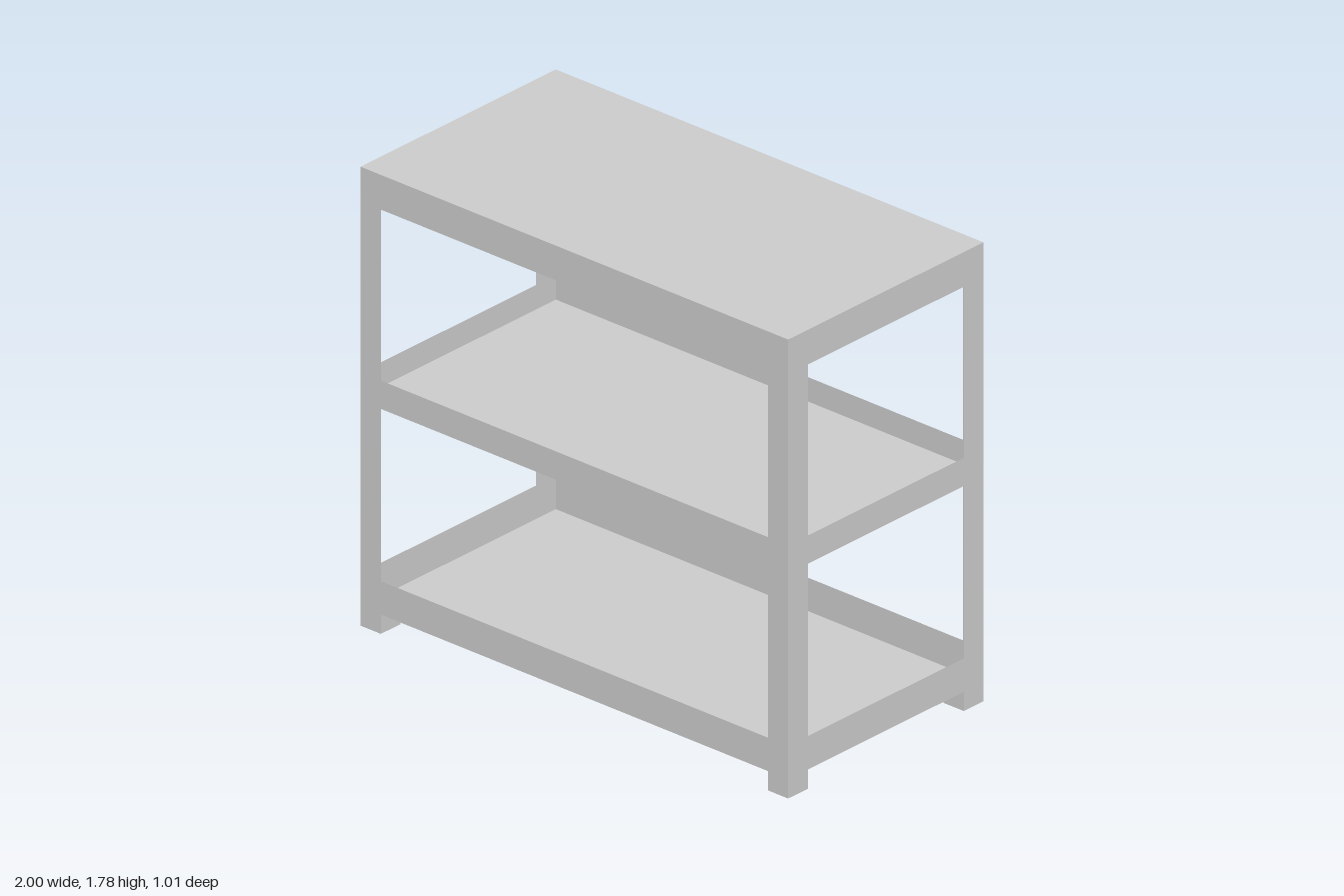
import * as THREE from 'three';

const W = 2, D = 1.014, H = 1.785;       // overall size
const PX = 0.095, PZ = 0.102;            // post flange widths
const BASE = 0.075, TOP = 1.65;          // underside of bottom shelf and of top slab
const RAILS = [[BASE, 0.205], [0.875, 0.985]];

export function createModel() {
  const group = new THREE.Group();
  const solid = new THREE.MeshStandardMaterial({ color: 0xcccccc, flatShading: true });
  const sheet = new THREE.MeshStandardMaterial({ color: 0xcccccc, flatShading: true, side: THREE.DoubleSide });

  function add(parent, name, geometry, material, x, y, z) {
    const mesh = new THREE.Mesh(geometry, material);
    mesh.name = name;
    mesh.position.set(x, y, z);
    parent.add(mesh);
    return mesh;
  }

  // One sheet-metal side: two post flanges and the rails between them
  function sidePanel(name, width, flange) {
    const panel = new THREE.Group();
    panel.name = name;
    for (const s of [-1, 1]) {
      add(panel, 'postFlange', new THREE.PlaneGeometry(flange, TOP - BASE), sheet,
        s * (width - flange) / 2, (TOP + BASE) / 2, 0);
    }
    for (const [low, high] of RAILS) {
      add(panel, 'rail', new THREE.PlaneGeometry(width - 2 * flange, high - low), sheet,
        0, (low + high) / 2, 0);
    }
    group.add(panel);
    return panel;
  }

  sidePanel('frontFrame', W, PX).position.z = D / 2;
  const back = sidePanel('backFrame', W, PX);
  back.position.z = -D / 2;
  back.rotation.y = Math.PI;
  for (const [name, s] of [['leftFrame', 1], ['rightFrame', -1]]) {
    const side = sidePanel(name, D, PZ);
    side.position.x = s * W / 2;
    side.rotation.y = s * Math.PI / 2;
  }

  // Solid top slab
  add(group, 'topSlab', new THREE.BoxGeometry(W, H - TOP, D), solid, 0, (H + TOP) / 2, 0);

  // Shelves recessed behind the rails
  add(group, 'middleShelf', new THREE.BoxGeometry(W, 0.015, D), solid, 0, 0.8825, 0);
  add(group, 'bottomShelf', new THREE.PlaneGeometry(W, D), sheet, 0, BASE, 0).rotation.x = -Math.PI / 2;

  // Block feet under the posts
  for (const sx of [-1, 1]) {
    for (const sz of [-1, 1]) {
      add(group, 'foot', new THREE.BoxGeometry(PX, BASE, PZ), solid,
        sx * (W - PX) / 2, BASE / 2, sz * (D - PZ) / 2);
    }
  }
  return group;
}
